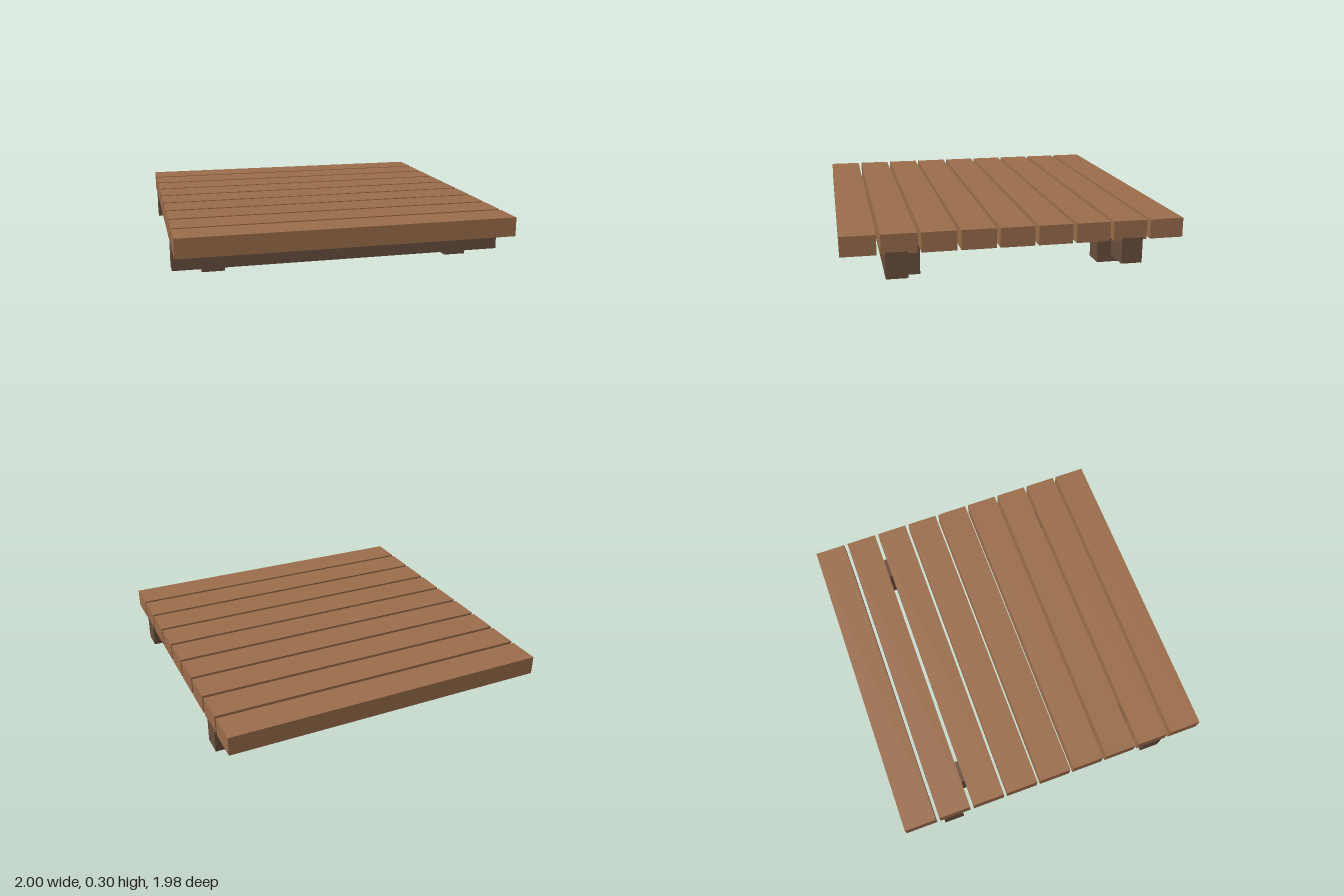
import * as THREE from 'three';

const plankWood = new THREE.MeshStandardMaterial({ color: 0x9c6e4c });
const beamWood = new THREE.MeshStandardMaterial({ color: 0x694f3d });

// Box given by its centre in x and z, its bottom and top in y
function addBox(parent, name, material, [w, d], [x, z], bottom, top) {
  const mesh = new THREE.Mesh(new THREE.BoxGeometry(w, top - bottom, d), material);
  mesh.name = name;
  mesh.position.set(x, (bottom + top) / 2, z);
  parent.add(mesh);
}

export function createModel() {
  const model = new THREE.Group();
  model.name = 'plankPlatform';

  // Deck of nine evenly spaced planks
  const deck = new THREE.Group();
  deck.name = 'deck';
  for (let i = -4; i <= 4; i++) {
    addBox(deck, 'plank', plankWood, [1.998, 0.2], [0, i * 0.2222], 0.185, 0.3);
  }

  // Two long beams, each with a pair of short posts on its inner side
  const frame = new THREE.Group();
  frame.name = 'frame';
  for (const side of [-1, 1]) {
    addBox(frame, 'beam', beamWood, [2, 0.125], [0, side * 0.681], 0.043, 0.197);
    for (const end of [-1, 1]) {
      addBox(frame, 'post', beamWood, [0.135, 0.135], [end * 0.757, side * 0.601], 0, 0.237);
    }
  }

  model.add(deck, frame);
  return model;
}
